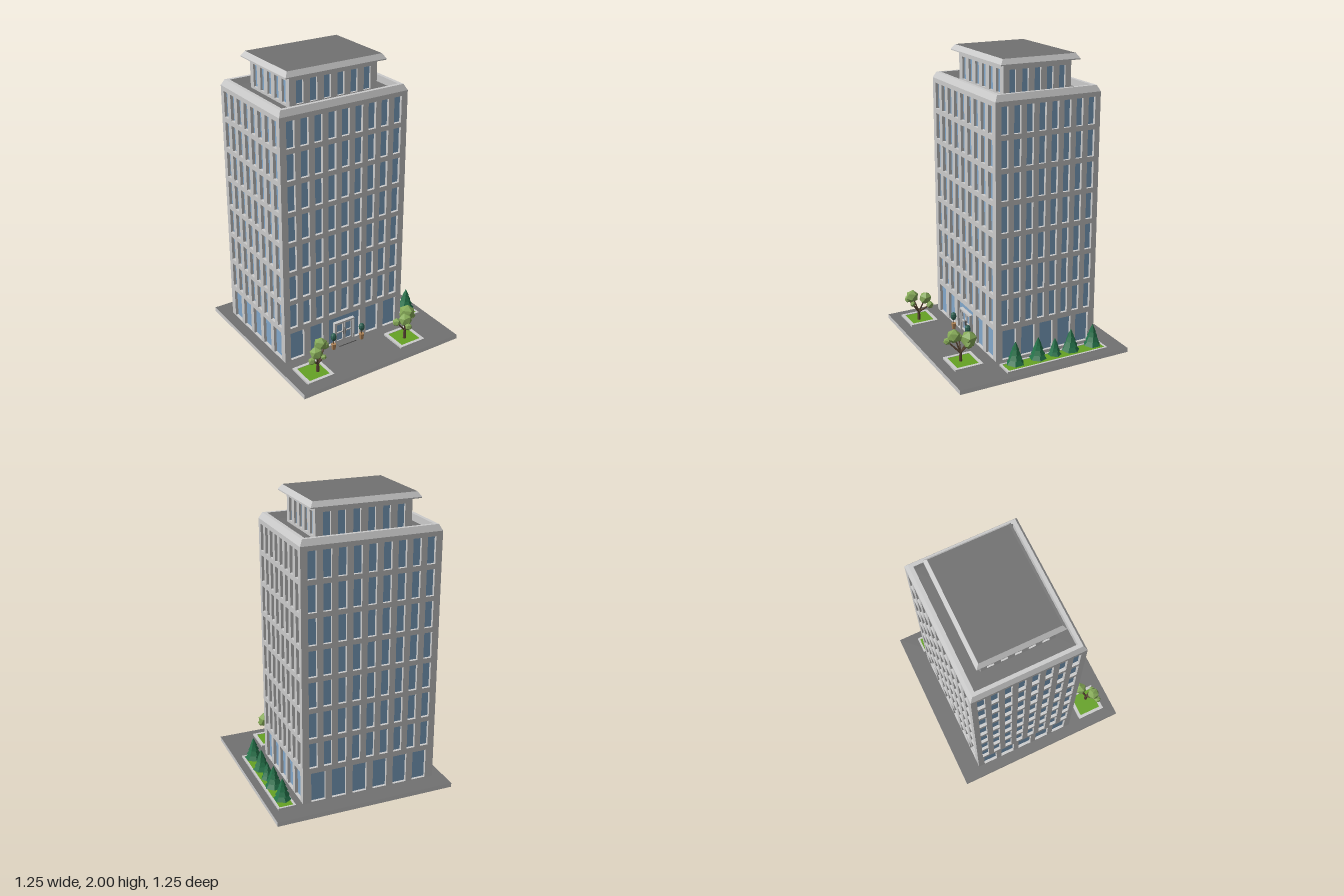
import * as THREE from 'three';

const mat = (color, flatShading = false) => new THREE.MeshStandardMaterial({ color, flatShading });
const grey = mat(0xcccccc), dark = mat(0x717171), glass = mat(0x82a8cb), grass = mat(0x66a224);
const leaf = mat(0x86aa58, true), pine = mat(0x237048, true), bark = mat(0x5a4634, true);
const bushMat = mat(0x2f6355, true), clay = mat(0xb08458, true);

function add(parent, name, geometry, material, x = 0, y = 0, z = 0) {
  const mesh = new THREE.Mesh(geometry, material);
  mesh.name = name;
  mesh.position.set(x, y, z);
  parent.add(mesh);
  return mesh;
}

// Box given by its limits
function box(parent, name, x0, x1, y0, y1, z0, z1, material) {
  return add(parent, name, new THREE.BoxGeometry(x1 - x0, y1 - y0, z1 - z0), material,
    (x0 + x1) / 2, (y0 + y1) / 2, (z0 + z1) / 2);
}

function rectPath(path, x0, x1, y0, y1) {
  path.moveTo(x0, y0);
  path.lineTo(x1, y0);
  path.lineTo(x1, y1);
  path.lineTo(x0, y1);
  path.closePath();
  return path;
}

// Upright panel with rectangular holes [x0, x1, y0, y1]
function panel(w, y0, y1, holes, depth) {
  const shape = rectPath(new THREE.Shape(), -w / 2, w / 2, y0, y1);
  shape.holes = holes.map(h => rectPath(new THREE.Path(), ...h));
  return new THREE.ExtrudeGeometry(shape, { depth, bevelEnabled: false });
}

// A centred row of n equal openings
function row(n, pitch, w, y0, y1) {
  return Array.from({ length: n }, (_, i) => {
    const x = (i - (n - 1) / 2) * pitch;
    return [x - w / 2, x + w / 2, y0, y1];
  });
}

// Four pierced walls round a glass core; holes are listed front, left, back, right
function storeys(name, w, d, y0, y1, holes, t) {
  const g = new THREE.Group();
  g.name = name;
  holes.forEach((list, k) => {
    const side = k % 2, out = (side ? w : d) / 2 - t, a = k * Math.PI / 2;
    const wall = add(g, 'wall', panel(side ? d - 2 * t : w, y0, y1, list, t), grey,
      Math.sin(a) * out, 0, Math.cos(a) * out);
    wall.rotation.y = a;
  });
  box(g, 'windowGlass', -w / 2 + t, w / 2 - t, y0, y1 - 0.005, -d / 2 + t, d / 2 - t, glass);
  return g;
}

// Mitred rectangular band swept along a profile of [inset, y]
function rectBand(w, d, profile) {
  const pos = [];
  const corner = ([inset, y], k) => [
    (k % 4 === 0 || k % 4 === 3 ? -1 : 1) * (w / 2 - inset), y, (k % 4 < 2 ? 1 : -1) * (d / 2 - inset)];
  for (let i = 0; i + 1 < profile.length; i++)
    for (let k = 0; k < 4; k++) {
      const a = corner(profile[i], k), b = corner(profile[i], k + 1);
      const c = corner(profile[i + 1], k + 1), e = corner(profile[i + 1], k);
      pos.push(...a, ...b, ...c, ...a, ...c, ...e);
    }
  const geo = new THREE.BufferGeometry();
  geo.setAttribute('position', new THREE.Float32BufferAttribute(pos, 3));
  geo.computeVertexNormals();
  return geo;
}

function planter(parent, x0, x1, z0, z1, c) {
  const g = new THREE.Group();
  g.name = 'planter';
  for (const [a, b] of [[x0, x0 + c], [x1 - c, x1]]) box(g, 'curb', a, b, 0.03, 0.043, z0, z1, grey);
  for (const [a, b] of [[z0, z0 + c], [z1 - c, z1]]) box(g, 'curb', x0 + c, x1 - c, 0.03, 0.043, a, b, grey);
  box(g, 'grass', x0 + c, x1 - c, 0.03, 0.04, z0 + c, z1 - c, grass);
  parent.add(g);
}

function pineTree(parent, x, z, h, r, turn) {
  const g = new THREE.Group();
  g.name = 'pineTree';
  add(g, 'trunk', new THREE.CylinderGeometry(0.006, 0.009, 0.03, 6), bark, 0, 0.015, 0);
  for (let i = 0; i < 4; i++) {
    const y0 = h * (0.11 + i * 0.19), y1 = i === 3 ? h : y0 + h * 0.34, rad = r * (1 - i * 0.2);
    add(g, 'branches', new THREE.CylinderGeometry(i === 3 ? 0 : rad * 0.2, rad, y1 - y0, 6), pine,
      0, (y0 + y1) / 2, 0).rotation.y = i * 0.12;
  }
  g.position.set(x, 0.04, z);
  g.rotation.y = turn;
  parent.add(g);
}

// Branch between two points
function limb(parent, a, b, r0, r1) {
  const p = new THREE.Vector3(...a), q = new THREE.Vector3(...b), dir = q.clone().sub(p);
  const mesh = add(parent, 'branch', new THREE.CylinderGeometry(r1, r0, dir.length(), 6), bark);
  mesh.position.copy(p).add(q).multiplyScalar(0.5);
  mesh.quaternion.setFromUnitVectors(new THREE.Vector3(0, 1, 0), dir.normalize());
}

// Forked tree; crowns are [x, y, z, radius]
function leafyTree(parent, x, z, crowns) {
  const g = new THREE.Group();
  g.name = 'leafyTree';
  const fork = [x, 0.1, z];
  limb(g, [x, 0.035, z], fork, 0.012, 0.009);
  crowns.forEach(([cx, cy, cz, r], i) => {
    limb(g, fork, [cx, cy, cz], 0.007, 0.004);
    add(g, 'foliage', new THREE.IcosahedronGeometry(r, 0), leaf, cx, cy, cz).rotation.set(i, i * 0.7 + 0.3, 0.4);
  });
  parent.add(g);
}

export function createModel() {
  const model = new THREE.Group();
  model.name = 'officeTower';

  // Paved plot
  box(model, 'plot', -0.625, 0.625, 0, 0.03, -0.625, 0.625, [grey, grey, dark, dark, grey, grey]);

  // Tower
  const tower = new THREE.Group();
  tower.name = 'tower';
  tower.position.set(-0.075, 0, -0.115);
  model.add(tower);
  const W = 0.95, D = 0.75;
  const wide = [], deep = [];
  for (let f = 0; f < 7; f++) {
    const y = 0.283 + f * 0.2122;
    wide.push(...row(9, 0.1, 0.058, y, y + 0.178));
    deep.push(...row(8, 0.089, 0.05, y, y + 0.178));
  }
  const lobby = [[-0.43, -0.325], [-0.275, -0.175], [-0.127, 0.127], [0.175, 0.275], [0.325, 0.43]]
    .map(([a, b]) => [a, b, 0.036, 0.245]);
  const sideBays = row(5, 0.139, 0.1, 0.036, 0.245), backBays = row(6, 0.147, 0.1, 0.036, 0.245);
  tower.add(storeys('mainStoreys', W, D, 0.03, 1.757,
    [[...wide, ...lobby], [...deep, ...sideBays], [...wide, ...backBays], [...deep, ...sideBays]], 0.02));

  // Parapet and roof deck
  add(tower, 'parapet', rectBand(W, D,
    [[0.02, 1.757], [0, 1.757], [0, 1.765], [0.02, 1.805], [0.045, 1.805], [0.045, 1.74]]), grey);
  box(tower, 'roofDeck', -W / 2 + 0.03, W / 2 - 0.03, 1.735, 1.758, -D / 2 + 0.03, D / 2 - 0.03, dark);

  // Penthouse
  const pw = row(6, 0.1, 0.052, 1.775, 1.925), pd = row(5, 0.089, 0.046, 1.775, 1.925);
  tower.add(storeys('penthouse', 0.65, 0.485, 1.745, 1.965, [pw, pd, pw, pd], 0.015));
  add(tower, 'penthouseEave', rectBand(0.74, 0.565, [[0.06, 1.96], [0, 1.96], [0, 1.967], [0.022, 2]]), grey);
  box(tower, 'penthouseRoof', -0.348, 0.348, 1.985, 2, -0.2605, 0.2605, dark);

  // Entrance doors and step
  const door = new THREE.Group();
  door.name = 'entrance';
  door.position.set(-0.076, 0, 0.24);
  model.add(door);
  add(door, 'doorFrame', panel(0.16, 0.03, 0.2, [[-0.07, 0.07, 0.03, 0.19]], 0.025), grey);
  for (const s of [-1, 1]) {
    const x = s * 0.035;
    add(door, 'doorLeaf', panel(0.068, 0.035, 0.188,
      [[-0.024, 0.024, 0.05, 0.108], [-0.024, 0.024, 0.116, 0.176]], 0.012), grey, x, 0, 0.003);
    box(door, 'doorGlass', x - 0.03, x + 0.03, 0.04, 0.18, 0, 0.007, glass);
    box(door, 'doorHandle', s * 0.008 - 0.002, s * 0.008 + 0.002, 0.09, 0.13, 0.015, 0.021, dark);
  }
  box(model, 'entranceStep', -0.143, -0.003, 0.03, 0.037, 0.255, 0.3, dark);

  // Potted shrubs either side of the doors
  for (const x of [-0.19, 0.042]) {
    const g = new THREE.Group();
    g.name = 'pottedShrub';
    g.position.set(x, 0.03, 0.297);
    add(g, 'pot', new THREE.CylinderGeometry(0.018, 0.013, 0.042, 8), clay, 0, 0.021, 0);
    add(g, 'stem', new THREE.CylinderGeometry(0.003, 0.003, 0.05, 5), bark, 0, 0.06, 0);
    const bush = new THREE.SphereGeometry(0.021, 8, 6).scale(1, 1.4, 1);
    add(g, 'shrub', bush, bushMat, 0, 0.096, 0);
    model.add(g);
  }

  // Planting beds
  planter(model, 0.45, 0.573, -0.495, 0.263, 0.014);
  planter(model, -0.55, -0.35, 0.35, 0.552, 0.022);
  planter(model, 0.195, 0.395, 0.35, 0.552, 0.022);

  // Row of pines
  [[-0.41, 0.17, 0.06], [-0.24, 0.172, 0.062], [-0.117, 0.135, 0.047], [0.01, 0.168, 0.06], [0.178, 0.175, 0.062]]
    .forEach(([z, h, r], i) => pineTree(model, 0.513, z, h, r, i * 0.8));

  // Two leafy trees
  leafyTree(model, -0.425, 0.465, [[-0.38, 0.218, 0.43, 0.046], [-0.335, 0.18, 0.415, 0.028],
    [-0.457, 0.215, 0.5, 0.046], [-0.5, 0.178, 0.515, 0.026], [-0.41, 0.175, 0.515, 0.02]]);
  leafyTree(model, 0.288, 0.465, [[0.333, 0.21, 0.425, 0.057], [0.228, 0.18, 0.45, 0.03],
    [0.263, 0.215, 0.5, 0.048], [0.256, 0.185, 0.545, 0.026], [0.36, 0.185, 0.44, 0.03]]);

  return model;
}
